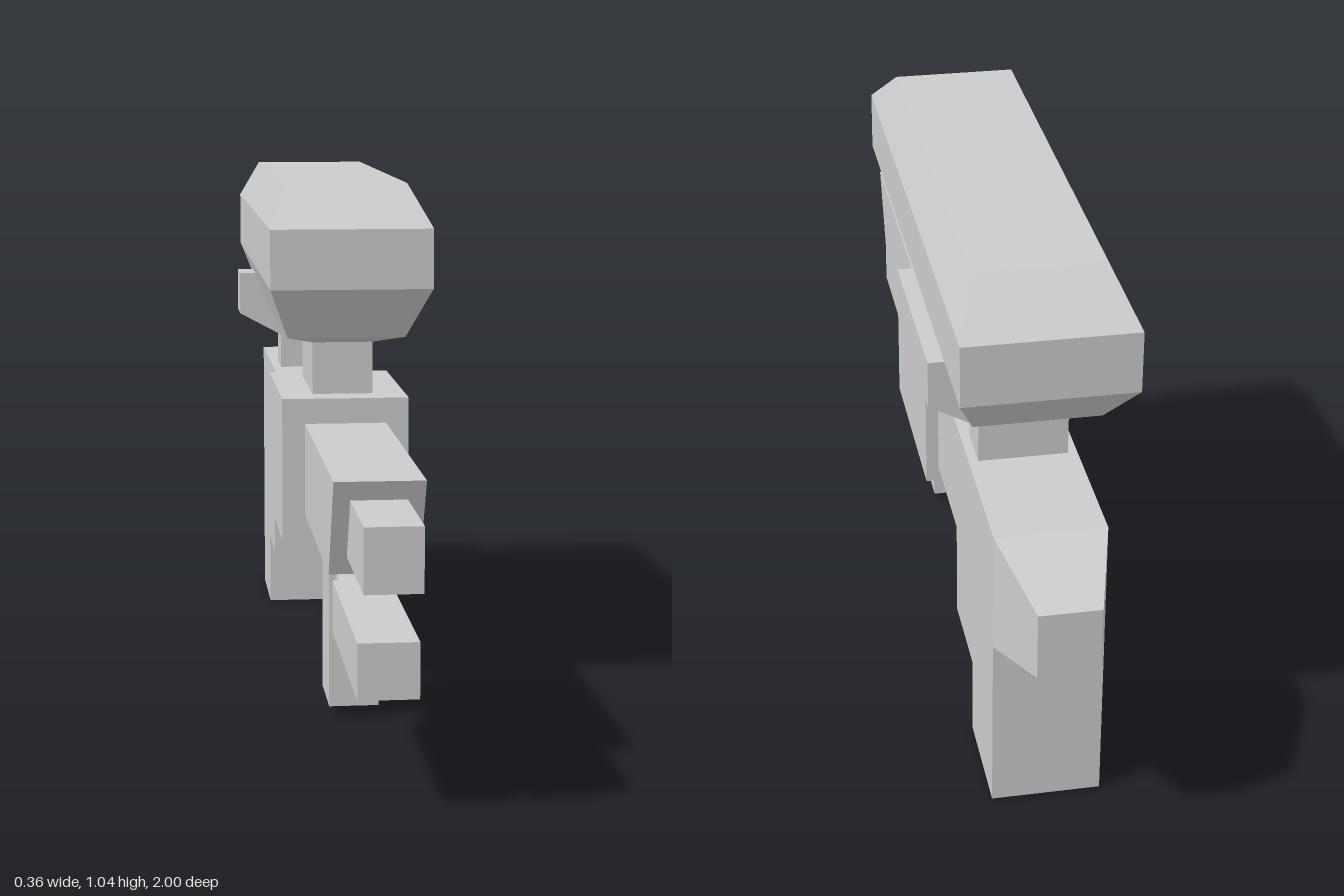
import * as THREE from 'three';

const material = new THREE.MeshStandardMaterial({ color: 0xcccccc, flatShading: true });

export function createModel() {
  const group = new THREE.Group();

  const add = (name, geometry) => {
    const mesh = new THREE.Mesh(geometry, material);
    mesh.name = name;
    group.add(mesh);
  };

  // Box centred on x, given by its half width and its y and z ranges
  const box = (name, hx, y0, y1, z0, z1) =>
    add(name, new THREE.BoxGeometry(2 * hx, y1 - y0, z1 - z0)
      .translate(0, (y0 + y1) / 2, (z0 + z1) / 2));

  // Outline extruded symmetrically about its own plane
  const slab = (points, depth) =>
    new THREE.ExtrudeGeometry(new THREE.Shape(points.map(p => new THREE.Vector2(...p))),
      { depth, bevelEnabled: false }).translate(0, 0, -depth / 2);

  // Side outline in (z, y), extruded across x
  const sideSlab = (name, hx, points) => add(name, slab(points, 2 * hx).rotateY(-Math.PI / 2));

  // Four-cornered rings joined in order and capped at both ends
  const loft = (name, rings) => {
    const pos = [];
    const quad = (a, b, c, d) => pos.push(...a, ...b, ...c, ...a, ...c, ...d);
    for (let i = 0; i < rings.length - 1; i++) {
      for (let j = 0; j < 4; j++) {
        const k = (j + 1) % 4;
        quad(rings[i][j], rings[i][k], rings[i + 1][k], rings[i + 1][j]);
      }
    }
    quad(...[...rings[0]].reverse());
    quad(...rings[rings.length - 1]);
    const geometry = new THREE.BufferGeometry();
    geometry.setAttribute('position', new THREE.Float32BufferAttribute(pos, 3));
    geometry.computeVertexNormals();
    add(name, geometry);
  };
  const levelRing = (y, x, z0, z1) => [[-x, y, z1], [x, y, z1], [x, y, z0], [-x, y, z0]];
  const rearRing = (z, x, y0, y1) => [[x, y0, z], [-x, y0, z], [-x, y1, z], [x, y1, z]];

  // Barrel and its slant-cut shroud
  box('barrel', 0.051, 0.41, 0.525, 0.6, 1);
  sideSlab('barrelShroud', 0.082, [[0.15, 0.375], [0.7, 0.375], [0.795, 0.562], [0.15, 0.562]]);

  // Central housing
  box('receiver', 0.128, 0.32, 0.613, -0.21, 0.178);

  // Rear body with stepped grip
  sideSlab('rearBodyAndGrip', 0.103, [
    [-0.2, 0.587], [-0.83, 0.587], [-0.83, 0], [-0.615, 0],
    [-0.615, 0.158], [-0.435, 0.158], [-0.435, 0.352], [-0.2, 0.352],
  ]);
  loft('tailCap', [rearRing(-0.83, 0.103, 0.352, 0.587), rearRing(-1, 0.057, 0.405, 0.535)]);

  // Front handle and the lower tube it carries
  box('foreGrip', 0.049, 0.023, 0.376, 0.197, 0.348);
  box('lowerRod', 0.036, 0.225, 0.295, 0.34, 0.48);
  box('lowerTube', 0.054, 0.208, 0.309, 0.475, 0.932);

  // Bevelled tank on top
  loft('tank', [
    levelRing(0.719, 0.061, -0.15, 0.115),
    levelRing(0.739, 0.118, -0.7, 0.2),
    levelRing(0.846, 0.159, -0.81, 0.31),
    levelRing(0.963, 0.159, -0.81, 0.31),
    levelRing(1.045, 0.12, -0.7, 0.2),
  ]);
  box('tankMount', 0.061, 0.6, 0.722, -0.15, 0.115);

  // Rear cradle with an arm on either side of the tank
  const half = [[0.085, 0.57], [0.085, 0.662], [0.178, 0.712], [0.178, 0.804], [0.125, 0.804], [0.1, 0.745]];
  const outline = [...half, ...half.map(([x, y]) => [-x, y]).reverse()];
  add('tankCradle', slab(outline, 0.1).translate(0, 0, -0.523));

  return group;
}
